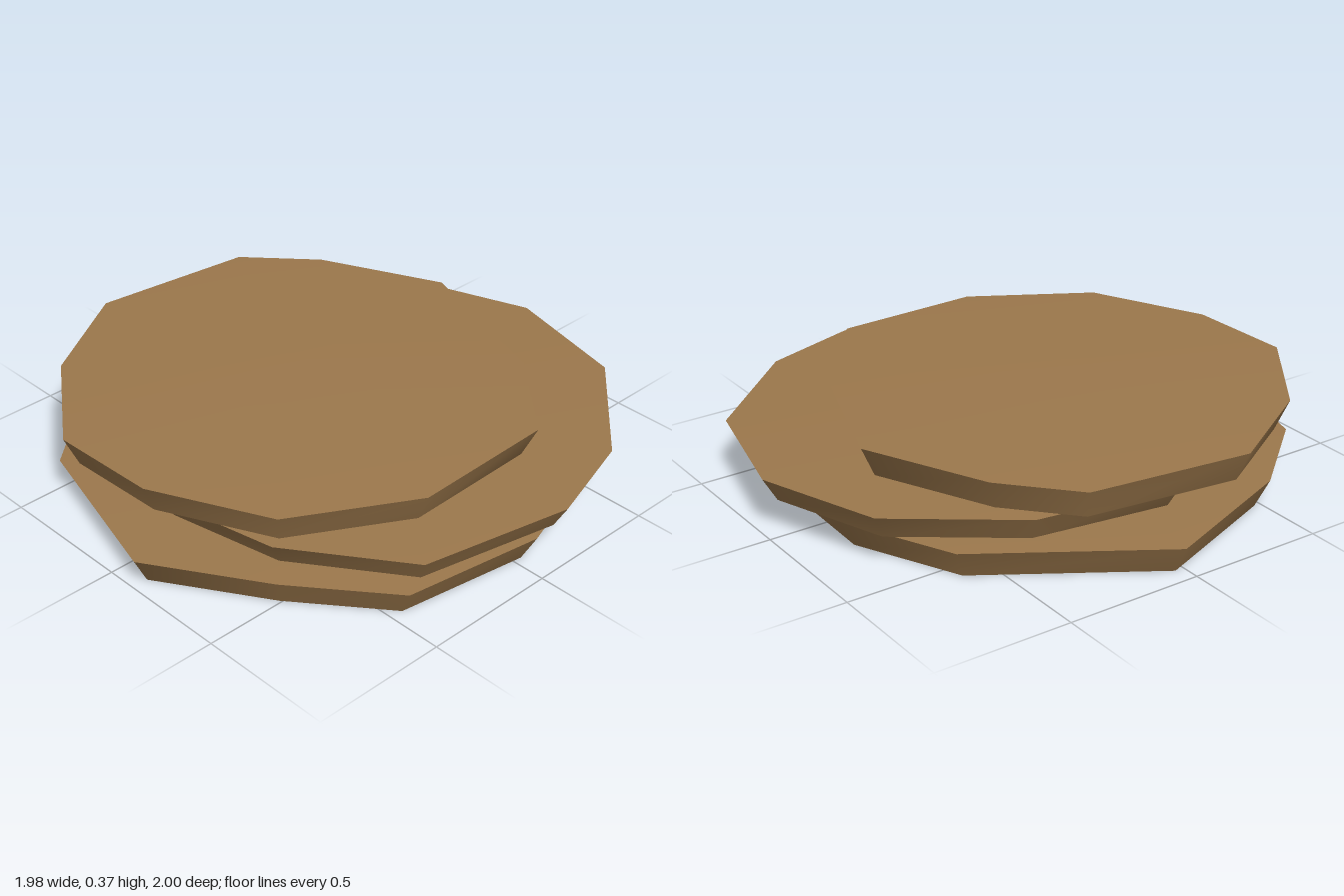
import * as THREE from 'three';

// Each slab: irregular rim outline (x, z), centre, rim heights and domed peak
const SLABS = [
  {
    name: 'bottomSlab', center: [-0.03, 0.08], y0: 0, y1: 0.107, peak: 0.135,
    rim: [[-0.99, -0.04], [-0.6, -0.655], [-0.2, -0.845], [0.31, -0.83], [0.76, -0.55], [0.935, -0.04],
      [0.855, 0.475], [0.525, 0.74], [0.12, 0.995], [-0.505, 0.82], [-0.78, 0.5]],
  },
  {
    name: 'middleSlab', center: [0.1, -0.1], y0: 0.118, y1: 0.21, peak: 0.235,
    rim: [[0.03, -1], [0.51, -0.885], [0.87, -0.49], [0.985, -0.125], [0.87, 0.425], [0.47, 0.71],
      [0.02, 0.8], [-0.45, 0.62], [-0.79, 0.1], [-0.715, -0.43], [-0.415, -0.84]],
  },
  {
    name: 'topSlab', center: [-0.09, 0.11], y0: 0.223, y1: 0.335, peak: 0.365,
    rim: [[-0.18, -0.745], [0.415, -0.54], [0.73, -0.26], [0.745, 0.285], [0.5, 0.71], [0.08, 0.91],
      [-0.32, 0.925], [-0.695, 0.65], [-0.93, 0.265], [-0.855, -0.325], [-0.62, -0.54]],
  },
];
const TAPER = 0.94; // underside is narrower than the top rim

function meshGeometry(points, index) {
  const g = new THREE.BufferGeometry();
  g.setAttribute('position', new THREE.Float32BufferAttribute(points.flat(), 3));
  g.setIndex(index);
  g.computeVertexNormals();
  return g;
}

function makeSlab({ name, center: [cx, cz], y0, y1, peak, rim }, material) {
  const n = rim.length;
  const top = rim.map(([x, z]) => [x, y1, z]);
  const base = rim.map(([x, z]) => [cx + (x - cx) * TAPER, y0, cz + (z - cz) * TAPER]);
  const cap = [], under = [], wall = [];
  for (let i = 0; i < n; i++) {
    const j = (i + 1) % n;
    cap.push(n, j, i);
    under.push(n, i, j);
    wall.push(i, j, n + j, i, n + j, n + i);
  }
  const group = new THREE.Group();
  group.name = name;
  // Separate surfaces keep the rims sharp and the wall smooth
  const parts = {
    Top: meshGeometry([...top, [cx, peak, cz]], cap),
    Underside: meshGeometry([...base, [cx, y0, cz]], under),
    Wall: meshGeometry([...top, ...base], wall),
  };
  for (const [part, geometry] of Object.entries(parts)) {
    const mesh = new THREE.Mesh(geometry, material);
    mesh.name = name + part;
    group.add(mesh);
  }
  return group;
}

export function createModel() {
  const brown = new THREE.MeshStandardMaterial({ color: 0x9c784c });
  brown.name = 'earthBrown';
  const model = new THREE.Group();
  model.name = 'stackedSlabs';
  for (const slab of SLABS) model.add(makeSlab(slab, brown));
  return model;
}
